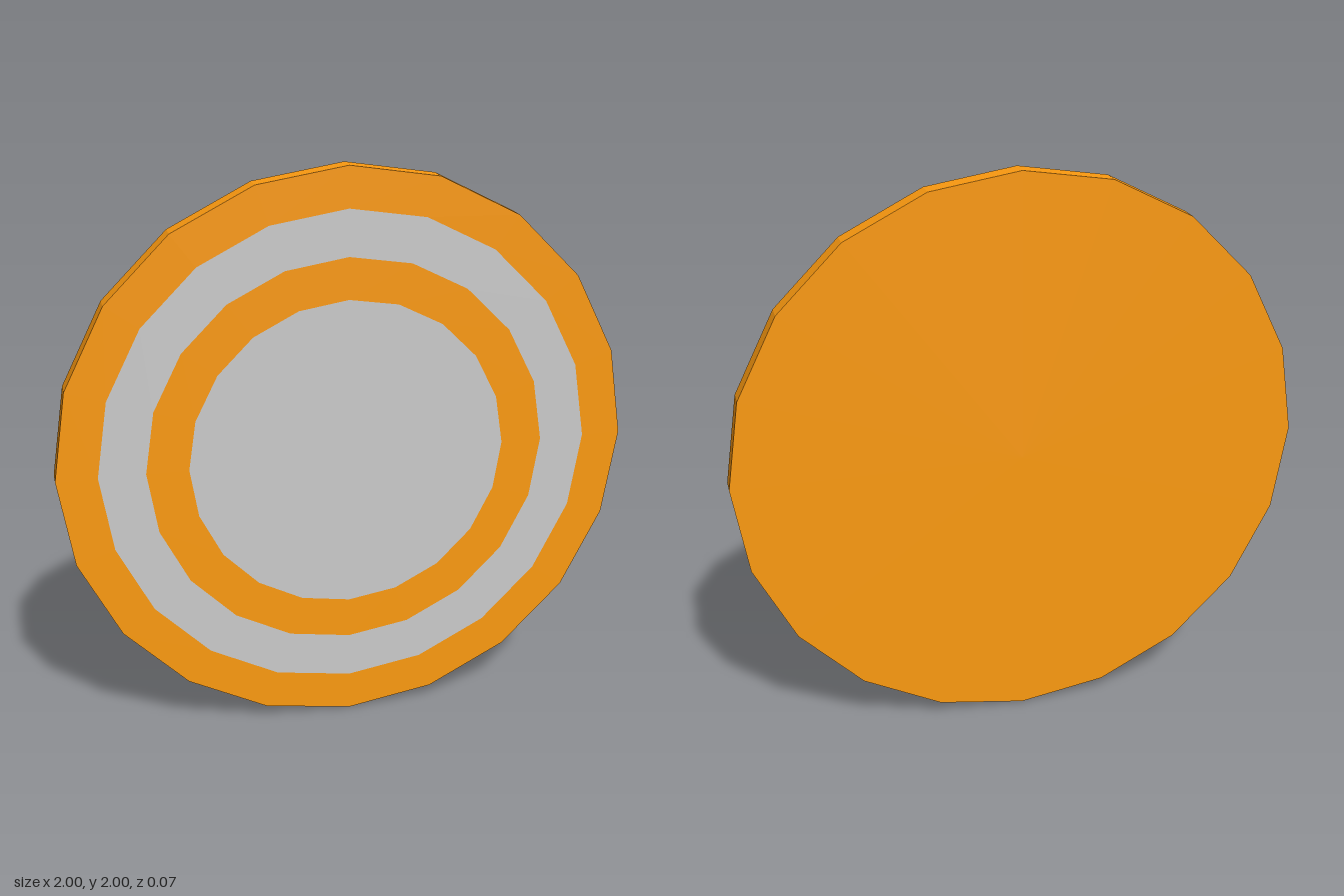
import * as THREE from 'three';

const SIDES = 20;
const HALF = 0.035; // half the thickness

export function createModel() {
  const group = new THREE.Group();
  const orange = new THREE.MeshStandardMaterial({ color: 0xfc9a10, flatShading: true });
  const grey = new THREE.MeshStandardMaterial({ color: 0xcccccc, flatShading: true });

  const add = (name, geometry, material) => {
    const mesh = new THREE.Mesh(geometry.translate(0, 1, 0), material);
    mesh.name = name;
    group.add(mesh);
  };

  // Faceted edge of the disc
  add('rim', new THREE.CylinderGeometry(1, 1, 2 * HALF, SIDES, 1, true).rotateX(Math.PI / 2), orange);

  // Plain back
  add('backFace', new THREE.CircleGeometry(1, SIDES).rotateY(Math.PI).translate(0, 0, -HALF), orange);

  // Flush concentric bands on the front
  const bands = [
    ['outerBand', 0.86, 1, orange],
    ['outerGreyBand', 0.7, 0.86, grey],
    ['innerBand', 0.555, 0.7, orange],
  ];
  for (const [name, inner, outer, material] of bands) {
    add(name, new THREE.RingGeometry(inner, outer, SIDES).translate(0, 0, HALF), material);
  }
  add('centreDisc', new THREE.CircleGeometry(0.555, SIDES).translate(0, 0, HALF), grey);

  return group;
}
